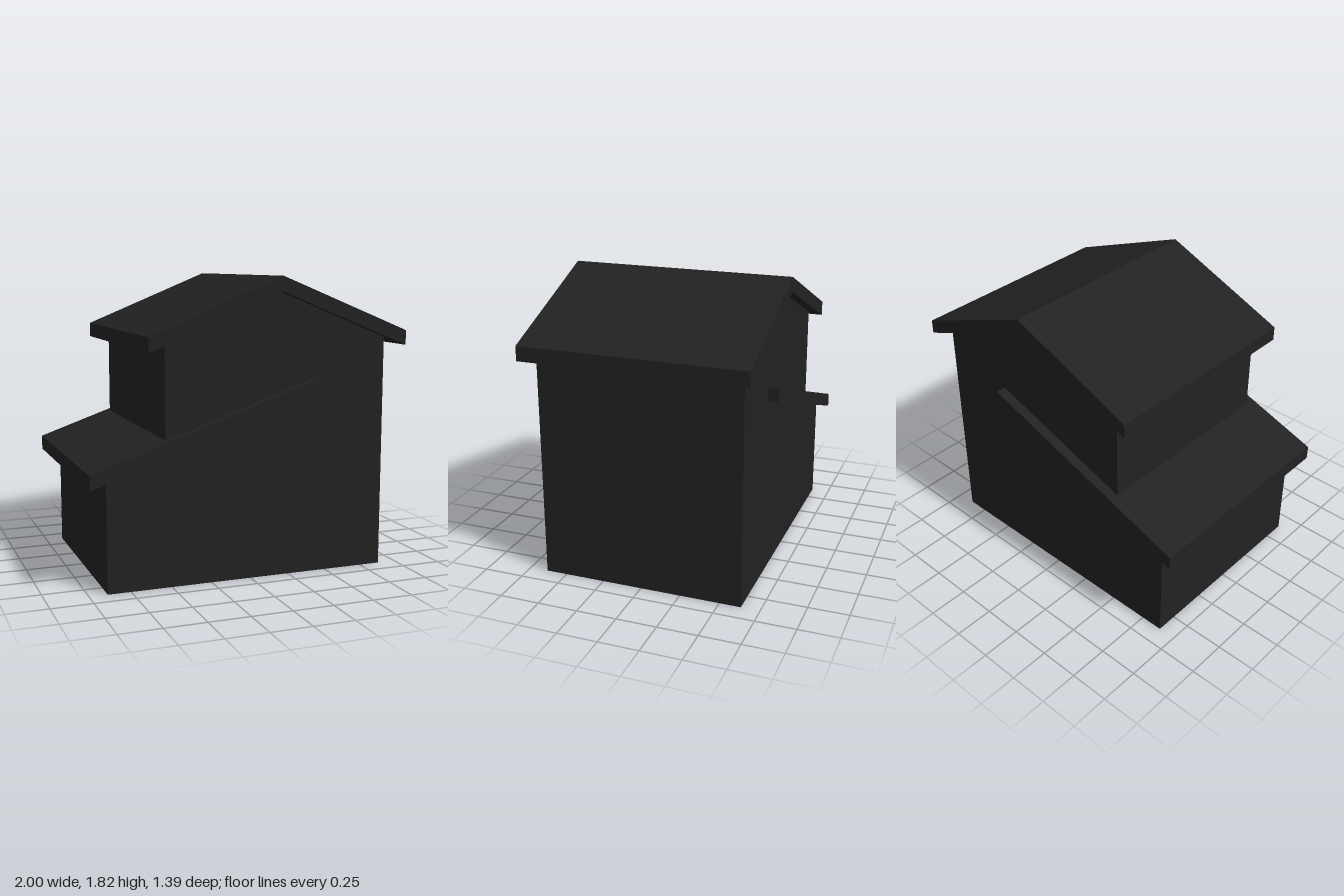
import * as THREE from 'three';

const WALL_Z = 0.633; // half depth of the walls
const ROOF_Z = 0.697; // half depth of the roofs

const toShape = (points) => new THREE.Shape(points.map(([x, y]) => new THREE.Vector2(x, y)));

export function createModel() {
  const house = new THREE.Group();
  house.name = 'house';
  const charcoal = new THREE.MeshStandardMaterial({ color: 0x222222, side: THREE.DoubleSide });
  charcoal.name = 'charcoal';

  function add(name, geometry, x = 0, y = 0, z = 0) {
    const mesh = new THREE.Mesh(geometry, charcoal);
    mesh.name = name;
    mesh.position.set(x, y, z);
    house.add(mesh);
    return mesh;
  }

  // Gable walls: one outline covers the tall house and its lean-to
  const outline = [
    [-0.89, 0], [0.883, 0], [0.883, 1.442], [0.173, 1.73],
    [-0.535, 1.442], [-0.535, 0.791], [-0.89, 0.668],
  ];
  add('frontWall', new THREE.ShapeGeometry(toShape(outline)), 0, 0, WALL_Z);
  const mirrored = outline.map(([x, y]) => [-x, y]).reverse();
  add('backWall', new THREE.ShapeGeometry(toShape(mirrored)), 0, 0, -WALL_Z).rotation.y = Math.PI;

  // Side walls; the house is hollow and open underneath
  function sideWall(name, x, bottom, top, facing) {
    const wall = new THREE.PlaneGeometry(2 * WALL_Z, top - bottom);
    wall.rotateY(facing * Math.PI / 2);
    add(name, wall, x, (bottom + top) / 2, 0);
  }
  sideWall('leftWall', 0.883, 0, 1.442, 1);
  sideWall('upperRightWall', -0.535, 0.791, 1.442, -1);
  sideWall('leanToWall', -0.89, 0, 0.668, -1);

  // Roof slabs: a top line dropped by the thickness, extruded front to back
  function roof(name, topLine, thickness) {
    const underside = topLine.map(([x, y]) => [x, y - thickness]);
    const shape = toShape([...underside, ...topLine.slice().reverse()]);
    const slab = new THREE.ExtrudeGeometry(shape, { depth: 2 * ROOF_Z, bevelEnabled: false });
    add(name, slab, 0, 0, -ROOF_Z);
  }
  roof('gableRoof', [[-0.65, 1.485], [0.173, 1.82], [1, 1.485]], 0.09);
  roof('leanToRoof', [[-1, 0.72], [0.413, 1.21]], 0.09);

  return house;
}
